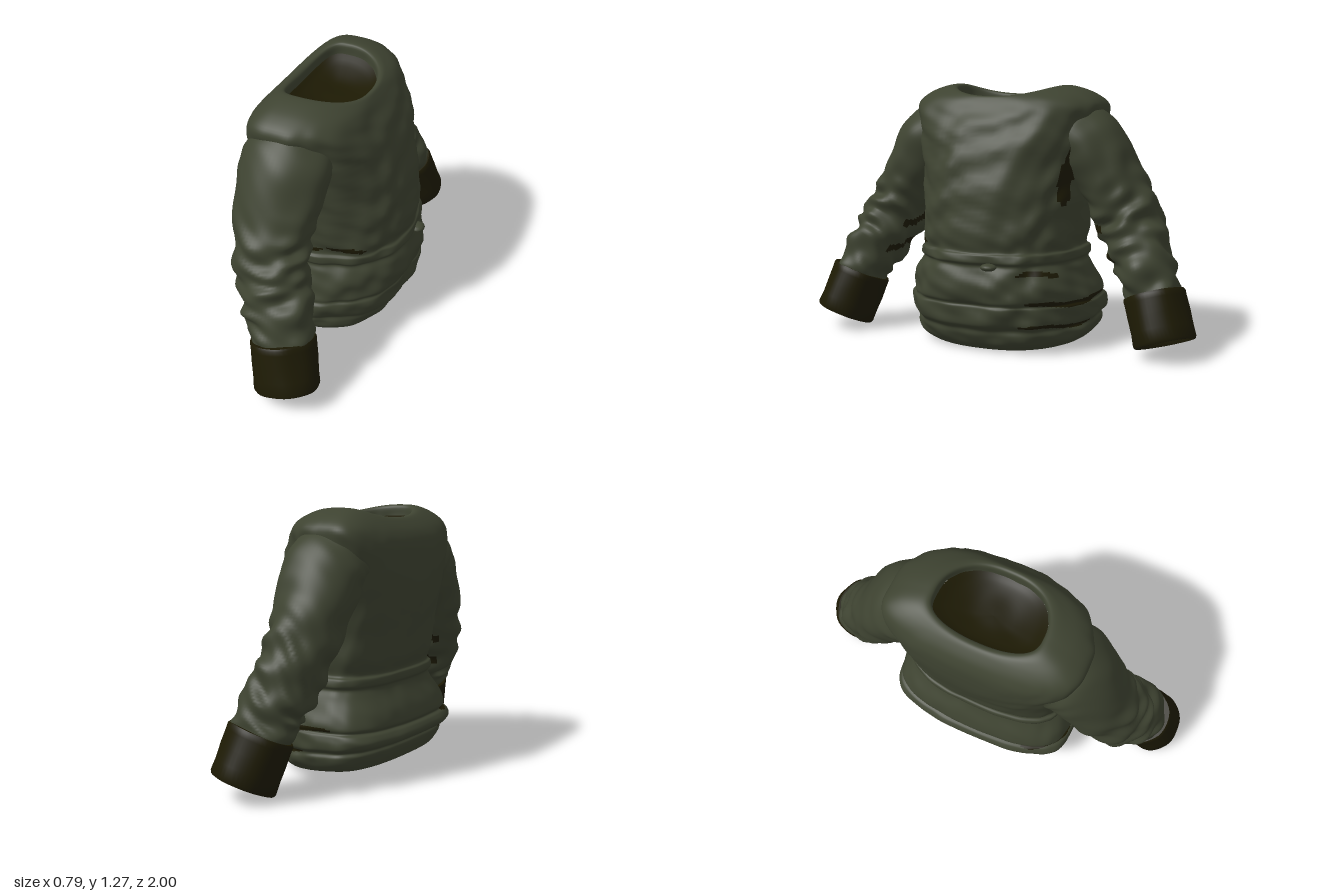
import * as THREE from 'three';
import { toCreasedNormals } from 'three/addons/utils/BufferGeometryUtils.js';

const { sin, cos, abs, sign, PI } = Math;
const { smoothstep: smooth, lerp } = THREE.MathUtils;

// Skin a closed tube of rings; point(u, t) gives a vertex, isDark(p, t) picks the second material
function loft(rows, cols, point, isDark = () => false) {
  const pos = [], light = [], dark = [];
  for (let i = 0; i <= rows; i++) {
    for (let j = 0; j < cols; j++) pos.push(...point(i / rows, (j / cols) * 2 * PI));
  }
  for (let i = 0; i < rows; i++) {
    for (let j = 0; j < cols; j++) {
      const k = (j + 1) % cols;
      const a = i * cols + j, b = i * cols + k, c = a + cols, d = b + cols;
      const p = pos.slice(a * 3, a * 3 + 3);
      (isDark(p, (j / cols) * 2 * PI) ? dark : light).push(a, c, b, b, c, d);
    }
  }
  const g = new THREE.BufferGeometry();
  g.setAttribute('position', new THREE.Float32BufferAttribute(pos, 3));
  g.setIndex([...light, ...dark]);
  g.addGroup(0, light.length, 0);
  g.addGroup(light.length, dark.length, 1);
  g.computeVertexNormals();
  return g;
}

// Smooth interpolation through rows of numbers
function sampler(rows) {
  const curve = new THREE.CubicInterpolant(rows.map((_, i) => i), rows.flat(), rows[0].length);
  return (u) => Array.from(curve.evaluate(u * (rows.length - 1)));
}

// Body ring: flat back (-x), round front (+x), square shoulders, raised sides at the collar
function bodyPoint([y, back, front, half, lift], t, puff = 0) {
  const mid = back + 0.38 * (front - back);
  const c = cos(t), s = sin(t), k = 1 + puff / 0.4;
  const x = c >= 0 ? mid + (front - mid) * c * k : mid - (mid - back) * abs(c) ** 0.55 * k;
  const square = smooth(half, 0.34, 0.45) * smooth(y, 0.75, 1.1);
  const side = sign(s) * abs(s) ** lerp(0.82, 0.65, square);
  const tilt = 0.1 * (x + 0.05) * (1 - smooth(y, 0.05, 0.25));
  return [x, y + lift * side * side - tilt, half * side * k];
}

// Cloth folds on the body, stronger on the front
function bodyFold(y, t) {
  const warp = 1.3 * sin(2 * t + 0.7) + 0.8 * sin(5 * t + 6 * y);
  const front = 0.35 + 0.65 * smooth(cos(t), -0.3, 0.4);
  const folds = 0.005 * sin(34 * y + 2 * warp) + 0.004 * sin(9 * t + 12 * y + warp)
    + 0.004 * sin(17 * t - 29 * y + warp) * sin(47 * y + 3 * t);
  return folds * front * smooth(y, 0.02, 0.1) * (1 - smooth(y, 1.1, 1.22));
}

// [y, back x, front x, half width, collar lift]
const BODY = [
  [0.022, -0.05, -0.05, 0, 0], [0.022, -0.2, 0.14, 0.27, 0], [0.027, -0.3, 0.24, 0.4, 0],
  [0.06, -0.33, 0.285, 0.455, 0], [0.105, -0.345, 0.31, 0.472, 0], [0.132, -0.338, 0.315, 0.465, 0],
  [0.155, -0.385, 0.345, 0.487, 0], [0.19, -0.4, 0.355, 0.492, 0], [0.222, -0.385, 0.36, 0.485, 0],
  [0.237, -0.365, 0.355, 0.472, 0], [0.26, -0.375, 0.37, 0.475, 0], [0.32, -0.355, 0.375, 0.457, 0],
  [0.39, -0.312, 0.36, 0.425, 0], [0.425, -0.3, 0.35, 0.405, 0], [0.445, -0.315, 0.365, 0.415, 0],
  [0.475, -0.315, 0.36, 0.413, 0], [0.495, -0.3, 0.345, 0.397, 0], [0.56, -0.32, 0.35, 0.408, 0],
  [0.68, -0.335, 0.345, 0.41, 0], [0.82, -0.36, 0.32, 0.42, 0], [0.98, -0.37, 0.275, 0.445, 0],
  [1.09, -0.36, 0.225, 0.48, 0.005], [1.15, -0.335, 0.19, 0.487, 0.025], [1.195, -0.295, 0.16, 0.42, 0.035],
  [1.215, -0.265, 0.14, 0.325, 0.047], [1.205, -0.24, 0.12, 0.27, 0.055], [1.165, -0.235, 0.115, 0.262, 0.045],
];
// Shallow dark hollow inside the neck
const HOLLOW = [
  [1.166, -0.236, 0.116, 0.263, 0.045], [1.15, -0.2, 0.08, 0.2, 0.025],
  [1.14, -0.14, 0.02, 0.1, 0], [1.138, -0.07, -0.07, 0, 0],
];
// Deep creases where the dark inside shows: [y, angle, half height, half angle]
const CREASES = [
  [0.24, 2.1, 0.012, 0.5], [0.14, 2.0, 0.009, 0.45], [0.51, 0.95, 0.013, 0.25],
  [0.38, -0.75, 0.014, 0.28], [0.84, -1.1, 0.15, 0.13], [0.24, -1.1, 0.014, 0.6],
  [0.13, -0.9, 0.01, 0.5], [0.51, 1.45, 0.012, 0.2],
];
const inCrease = ([, y], t) => CREASES.some(([cy, ct, h, w]) => {
  const da = Math.atan2(sin(t - ct), cos(t - ct));
  return ((y - cy - 0.008 * sin(7 * t)) / h) ** 2 + (da / w) ** 2 < 1;
});

// Sleeve: [x, y, z, x radius, thickness radius]
const SLEEVE = [
  [-0.11, 1.05, 0.26, 0.17, 0.1], [-0.105, 1.02, 0.35, 0.212, 0.17], [-0.1, 0.955, 0.435, 0.218, 0.18],
  [-0.1, 0.8, 0.537, 0.2, 0.157], [-0.082, 0.64, 0.62, 0.178, 0.158], [-0.038, 0.5, 0.686, 0.176, 0.148],
  [0.02, 0.38, 0.748, 0.163, 0.135], [0.055, 0.26, 0.797, 0.143, 0.125],
];

function sleeveGeometry(side) {
  const last = SLEEVE.length - 1;
  // The -z sleeve is slimmer and hangs further back
  const at = sampler(SLEEVE.map(([x, y, z, a, b], i) => (side > 0 ? [x, y, z, a, b]
    : [x - 0.07 * (i / last) ** 2, y, -z, a - 0.02 * sin(PI * i / last), b])));
  const X = new THREE.Vector3(1, 0, 0);
  // Dark creases on the inner side around the elbow
  const crease = ([, y], t) => sin(t) * side > 0.72
    && [0.44, 0.57].some((cy) => abs(y - cy - 0.015 * sin(5 * t)) < 0.018);
  return loft(96, 64, (u, t) => {
    const [x, y, z, a, b] = at(u);
    const p = new THREE.Vector3(x, y, z);
    const q0 = at(Math.max(0, u - 0.02)), q1 = at(Math.min(1, u + 0.02));
    const T = new THREE.Vector3(q1[0] - q0[0], q1[1] - q0[1], q1[2] - q0[2]).normalize();
    const n = X.clone().cross(T).normalize();
    const w = T.clone().cross(n);
    const elbow = 0.2 + smooth(u, 0.38, 0.6) - 0.4 * smooth(u, 0.78, 0.95);
    const warp = 1.8 * sin(2 * t + side) + 1.3 * cos(t + 9 * u);
    const fold = elbow * (0.007 * sin(54 * u + warp) + 0.006 * sin(33 * u + 3 * t + side)
      + 0.004 * sin(71 * u - 5 * t + warp)) + 0.004 * sin(4 * t + 11 * u + warp);
    p.addScaledVector(w, (a + fold) * cos(t)).addScaledVector(n, (b + fold) * sin(t));
    return p.toArray();
  }, crease);
}

// Turned-up cuff with a hollow opening
function cuffGeometry() {
  const profile = [
    [0, 0.14], [0.115, 0.14], [0.125, 0.06], [0.13, 0.015], [0.136, 0], [0.143, 0], [0.149, 0.012],
    [0.147, 0.07], [0.149, 0.14], [0.148, 0.21], [0.149, 0.232], [0.144, 0.242], [0, 0.242],
  ].map(([r, y]) => new THREE.Vector2(r, y));
  const g = new THREE.LatheGeometry(profile, 48);
  const p = g.attributes.position;
  for (let i = 0; i < p.count; i++) {
    const a = Math.atan2(p.getZ(i), p.getX(i));
    const k = 1 + 0.018 * sin(3 * a + 14 * p.getY(i)) + 0.01 * sin(7 * a);
    p.setXYZ(i, p.getX(i) * k * 1.06, p.getY(i), p.getZ(i) * k);
  }
  return toCreasedNormals(g, 0.9);
}

export function createModel() {
  const cloth = new THREE.MeshStandardMaterial({ color: 0x3e4331 });
  cloth.name = 'olive cloth';
  const trim = new THREE.MeshStandardMaterial({ color: 0x1d1a04 });
  trim.name = 'dark trim';

  const model = new THREE.Group();
  model.name = 'jacket';
  const add = (name, geometry, material) => {
    const mesh = new THREE.Mesh(geometry, material);
    mesh.name = name;
    model.add(mesh);
    return mesh;
  };

  // Body and the dark hollow of its neck
  const body = sampler(BODY), hollow = sampler(HOLLOW);
  add('body', loft(156, 128, (u, t) => {
    const row = body(u);
    return bodyPoint(row, t, bodyFold(row[0], t));
  }, inCrease), [cloth, trim]);
  add('neckHollow', loft(12, 64, (u, t) => bodyPoint(hollow(u), t)), trim);

  // Knot at the end of the waist cord
  const knot = add('waistKnot', new THREE.SphereGeometry(1, 16, 10), cloth);
  knot.scale.set(0.035, 0.018, 0.04);
  knot.position.set(0.355, 0.425, -0.09);

  // Sleeves and cuffs; the +z arm reaches a little further forward
  for (const side of [1, -1]) {
    const label = side > 0 ? 'front' : 'back';
    add(label + 'Sleeve', sleeveGeometry(side), [cloth, trim]);
    const shift = side > 0 ? 0 : -0.07;
    const cuff = add(label + 'Cuff', cuffGeometry(), trim);
    cuff.position.set(0.11 + shift, 0.065, 0.86 * side);
    const up = new THREE.Vector3(-0.065, 0.245, -0.08 * side).normalize();
    cuff.quaternion.setFromUnitVectors(new THREE.Vector3(0, 1, 0), up);
  }
  return model;
}
